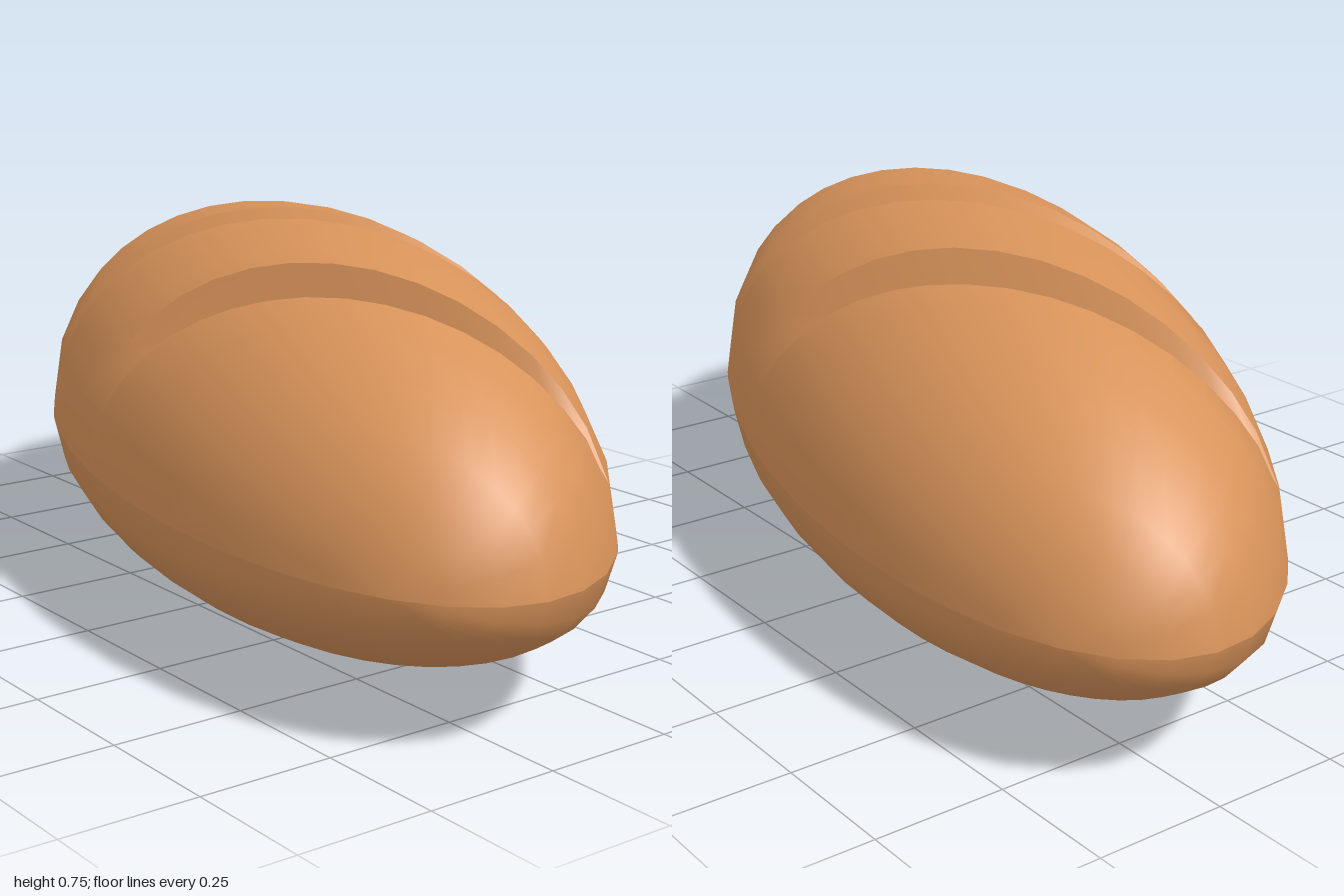
import * as THREE from 'three';
import { toCreasedNormals } from 'three/addons/utils/BufferGeometryUtils.js';

const GROOVES = [-0.37, 0.04, 0.48]; // slash positions across the loaf
const GROOVE_WIDTH = 0.072;
const GROOVE_DEPTH = 0.11;
const EQUATOR = 0.283;

// rows run parallel to the slashes; each slash gets two lips and a valley
function makeRows() {
  const rows = [];
  for (let a = -90; a <= 90; a += 10) {
    const t = Math.sin(THREE.MathUtils.degToRad(a));
    if (GROOVES.every((c) => Math.abs(t - c) > 0.11)) rows.push({ t, side: 0, valley: false });
  }
  for (const t of GROOVES) {
    for (const side of [-1, 0, 1]) rows.push({ t, side, valley: side === 0 });
  }
  return rows.sort((a, b) => a.t + a.side * GROOVE_WIDTH - b.t - b.side * GROOVE_WIDTH);
}

// half of a skewed ellipsoid, upper or lower
function halfLoaf(height, grooved) {
  const rows = makeRows();
  const arc = [0, 16];
  for (let b = 28; b <= 152; b += 124 / 14) arc.push(b);
  if (arc[arc.length - 1] < 151) arc.push(152);
  arc.push(164, 180);

  const positions = [];
  const index = [];
  rows.forEach((row, i) => {
    arc.forEach((deg, j) => {
      const b = THREE.MathUtils.degToRad(deg);
      const taper = Math.max(0, 1 - (Math.cos(b) / 0.9) ** 2);
      const t = row.t + row.side * (0.02 + (GROOVE_WIDTH - 0.02) * Math.sqrt(taper));
      const radius = Math.sqrt(Math.max(0, 1 - t * t));
      const s = radius * Math.cos(b);
      const sink = row.valley && grooved ? 1 - GROOVE_DEPTH * Math.sqrt(taper) : 1;
      const p = (t * 0.844 + s * 0.537) * sink;
      const q = (t * 0.537 - s * 0.844) * sink;
      const y = EQUATOR + height * radius * Math.sin(b) * sink;
      positions.push(p, y, 0.25 * p + 0.462 * q);

      if (i === rows.length - 1 || j === arc.length - 1) return;
      const a = i * arc.length + j;
      const c = a + arc.length;
      const faces = [];
      if (i > 0) faces.push([a, a + 1, c]);
      if (i < rows.length - 2) faces.push([a + 1, c + 1, c]);
      for (const f of faces) index.push(...(height > 0 ? f : f.reverse()));
    });
  });

  const geometry = new THREE.BufferGeometry();
  geometry.setAttribute('position', new THREE.Float32BufferAttribute(positions, 3));
  geometry.setIndex(index);
  // enlarged while creasing so that close lips stay separate
  geometry.scale(10, 10, 10);
  return toCreasedNormals(geometry, 0.58).scale(0.1, 0.1, 0.1);
}

export function createModel() {
  const crust = new THREE.MeshStandardMaterial({ color: 0xd8935a });
  crust.name = 'crust';

  const loaf = new THREE.Group();
  loaf.name = 'breadLoaf';

  // slashed upper crust
  const top = new THREE.Mesh(halfLoaf(0.472, true), crust);
  top.name = 'topCrust';

  // shallow rounded underside
  const bottom = new THREE.Mesh(halfLoaf(-EQUATOR, false), crust);
  bottom.name = 'bottomCrust';

  loaf.add(top, bottom);
  return loaf;
}
